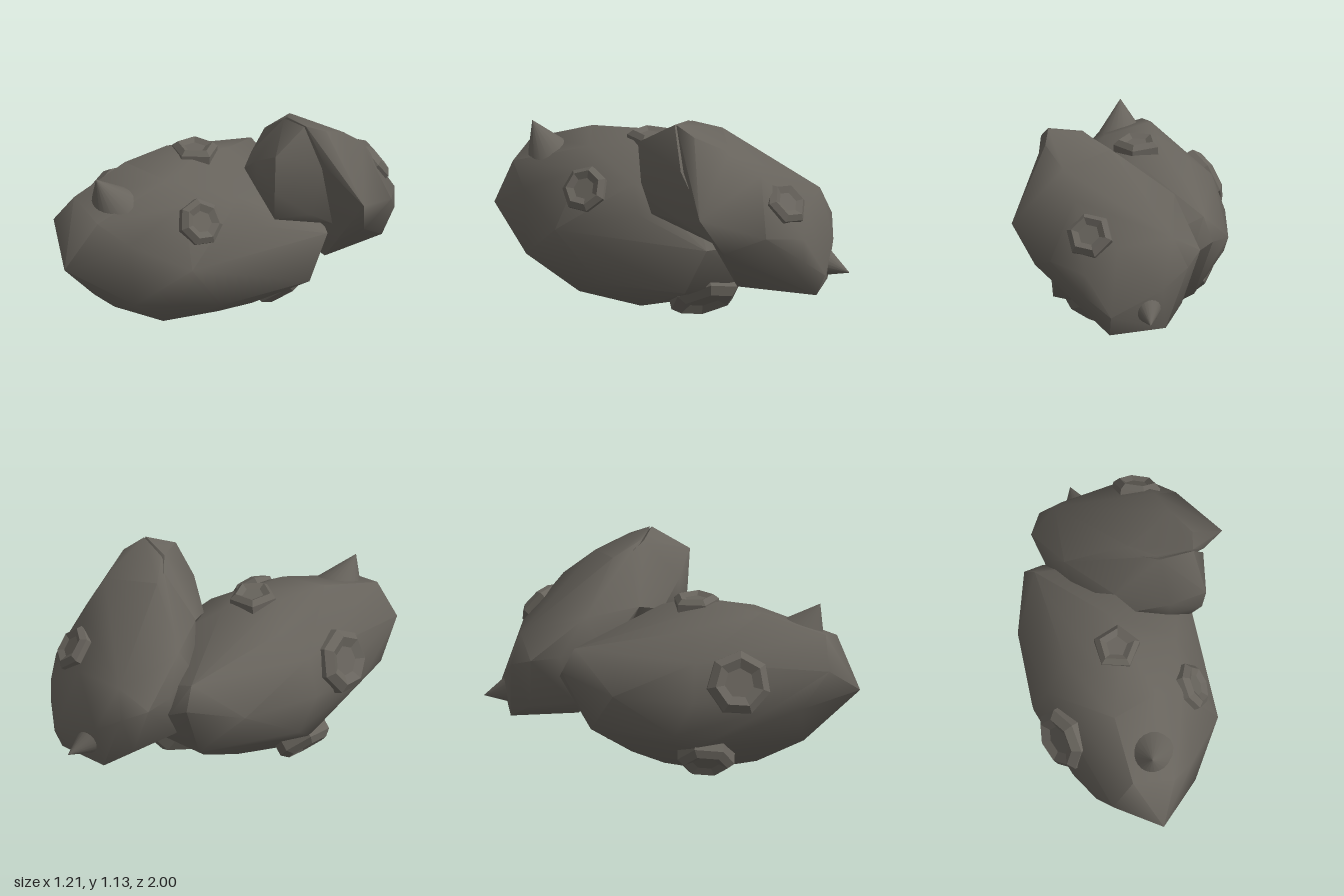
import * as THREE from 'three';
import { ConvexGeometry } from 'three/addons/geometries/ConvexGeometry.js';
import { toCreasedNormals } from 'three/addons/utils/BufferGeometryUtils.js';

const rock = new THREE.MeshStandardMaterial({ color: 0x67635c, roughness: 1 });
const facetedRock = new THREE.MeshStandardMaterial({ color: 0x67635c, roughness: 1, flatShading: true });
const UP = new THREE.Vector3(0, 1, 0);
const V = (p) => new THREE.Vector3(...p);

// Boulder: hull around a few corner points, smooth except at sharp edges
function boulder(name, corners) {
  const mesh = new THREE.Mesh(toCreasedNormals(new ConvexGeometry(corners.map(V)), 1), rock);
  mesh.name = name;
  return mesh;
}

// Crater: polygonal raised rim around a flat-floored dish, facing along "normal"
function crater(name, center, normal, radius, sides, spin = 0) {
  const profile = [[1, -0.4], [1, 0.02], [0.76, 0.22], [0.46, 0.08], [0, 0.08]]
    .map(([r, h]) => new THREE.Vector2(r * radius, h * radius));
  const mesh = new THREE.Mesh(new THREE.LatheGeometry(profile, sides), facetedRock);
  mesh.geometry.rotateY(spin);
  mesh.position.set(...center);
  mesh.quaternion.setFromUnitVectors(UP, V(normal).normalize());
  mesh.name = name;
  return mesh;
}

// Spike: smooth cone from a base centre to a tip
function spike(name, base, tip, radius) {
  const axis = V(tip).sub(V(base));
  const geo = new THREE.ConeGeometry(radius, axis.length(), 20, 1, true);
  const mesh = new THREE.Mesh(geo, rock);
  mesh.position.copy(V(base)).addScaledVector(axis, 0.5);
  mesh.quaternion.setFromUnitVectors(UP, axis.normalize());
  mesh.name = name;
  return mesh;
}

export function createModel() {
  const group = new THREE.Group();
  group.name = 'doubleAsteroid';

  // Large lobe
  group.add(boulder('largeLobe', [
    // nose
    [-0.13, 0.47, 1], [-0.25, 0.8, 0.84], [-0.37, 0.64, 0.88], [-0.42, 0.44, 0.74],
    [-0.23, 0.21, 0.72], [-0.05, 0.21, 0.73], [0.12, 0.28, 0.73], [0.1, 0.62, 0.75],
    [-0.03, 0.73, 0.86],
    // top
    [-0.25, 0.9, 0.5], [0, 0.86, 0.42], [0.14, 0.77, 0.42], [-0.25, 0.91, 0.22],
    [-0.08, 0.91, 0.12], [-0.1, 0.87, -0.05], [-0.4, 0.82, 0.1], [-0.4, 0.7, -0.46],
    // right flank
    [0.31, 0.48, 0.5], [0.27, 0.2, 0.27], [0.33, 0.35, 0.1], [0.29, 0.6, 0.05],
    [0.2, 0.74, 0.1],
    // left flank
    [-0.5, 0.45, 0.58], [-0.6, 0.5, 0.2], [-0.58, 0.31, 0.1], [-0.53, 0.23, 0.2],
    [-0.53, 0.7, 0.2], [-0.56, 0.5, -0.23],
    // belly
    [-0.13, 0, 0.13], [-0.22, 0.08, 0.47], [0.03, 0.08, 0.47], [-0.28, 0.04, 0.2],
    [0.05, 0.04, 0.12], [0.18, 0.1, 0], [-0.2, 0.035, -0.02], [-0.15, 0.07, -0.2],
    // rear
    [-0.44, 0.58, -0.52], [-0.33, 0.52, -0.55], [-0.36, 0.25, -0.38],
    [0.36, 0.22, -0.24], [0.36, 0.46, -0.36], [0.05, 0.24, -0.46], [0.15, 0.45, -0.48],
  ]));

  // Small lobe, with a shoulder leaning over the large lobe
  const small = new THREE.Group();
  small.name = 'smallLobe';
  small.add(boulder('smallLobeBody', [
    [0.2, 1.11, -0.22], [0.38, 1.13, -0.2], [0.41, 1.08, -0.31], [0.07, 1.05, -0.34],
    [-0.07, 0.94, -0.38], [-0.05, 0.83, -0.18], [-0.25, 0.82, -0.43], [0.46, 0.9, -0.27],
    [0.34, 1, -0.48], [0.3, 0.88, -0.64], [0.6, 0.69, -0.41], [0.44, 0.58, -0.72],
    [0.1, 0.67, -0.82], [0.28, 0.55, -0.87], [0.28, 0.43, -0.87], [0.15, 0.33, -0.94],
    [-0.13, 0.45, -0.88], [-0.2, 0.7, -0.78], [-0.27, 0.55, -0.82], [-0.35, 0.6, -0.7],
    [-0.33, 0.62, -0.55], [0.49, 0.49, -0.5], [0.36, 0.37, -0.5], [0.15, 0.22, -0.89],
    [-0.15, 0.23, -0.84], [0.2, 0.24, -0.47], [-0.1, 0.25, -0.49], [-0.25, 0.32, -0.72],
    [-0.28, 0.36, -0.47], [-0.23, 0.65, -0.32],
  ]));
  small.add(boulder('smallLobeShoulder', [
    [0.2, 1.11, -0.2], [0.38, 1.13, -0.19], [0.39, 1.02, 0.01], [0.2, 0.92, -0.01],
    [0.07, 1.03, -0.3], [-0.05, 0.83, -0.18], [0.03, 0.8, -0.07], [0.2, 0.75, -0.02],
    [0.37, 0.8, 0], [0.32, 0.62, -0.04], [0.45, 0.9, -0.25], [0.39, 0.62, -0.22],
    [0.35, 0.5, -0.4], [0.1, 0.5, -0.3],
  ]));
  group.add(small);

  // Craters
  group.add(
    crater('topCrater', [-0.13, 0.91, 0.13], [0.02, 1, -0.03], 0.125, 5, 0.3),
    crater('rightCrater', [0.22, 0.69, 0.37], [0.85, 0.5, 0.1], 0.125, 7),
    crater('leftCrater', [-0.52, 0.6, 0.43], [-0.88, 0.35, 0.3], 0.17, 7),
    crater('lowerLeftCrater', [-0.435, 0.135, 0.24], [-0.68, -0.72, 0.1], 0.15, 6),
    crater('bellyCrater', [0.12, 0.14, -0.26], [0.42, -0.82, -0.4], 0.19, 6, 0.4),
    crater('rearCrater', [0.24, 0.73, -0.76], [0.3, 0.6, -0.74], 0.125, 6),
  );

  // Spikes
  group.add(
    spike('noseSpike', [-0.12, 0.75, 0.69], [-0.13, 0.93, 0.79], 0.135),
    spike('rearSpike', [-0.05, 0.35, -0.84], [-0.05, 0.3, -1], 0.085),
  );
  return group;
}
